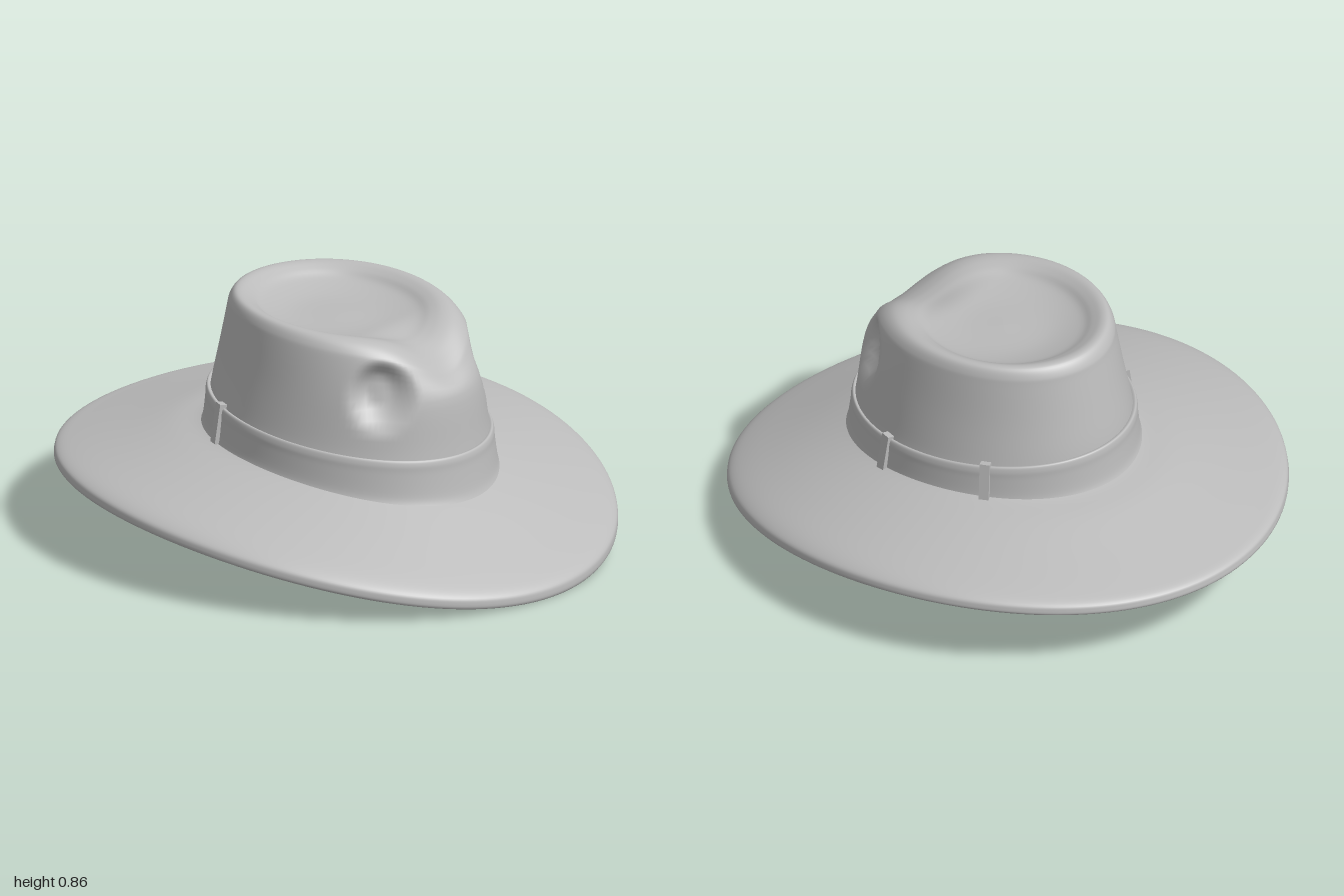
import * as THREE from 'three';

const SEGMENTS = 144;
const STEPS = 5;

// Each ring: half width, front z, back z, then height at front, side and back
const CROWN = [
  [0, 0.02, 0.02, 0.79, 0.79, 0.79],
  [0.14, 0.16, -0.14, 0.785, 0.79, 0.795],
  [0.24, 0.28, -0.25, 0.795, 0.807, 0.82],
  [0.28, 0.34, -0.3, 0.81, 0.835, 0.845],
  [0.31, 0.385, -0.335, 0.815, 0.85, 0.86],
  [0.335, 0.43, -0.362, 0.805, 0.847, 0.857],
  [0.352, 0.475, -0.383, 0.775, 0.822, 0.828],
  [0.362, 0.502, -0.392, 0.735, 0.78, 0.79],
  [0.385, 0.545, -0.42, 0.62, 0.64, 0.66],
  [0.41, 0.565, -0.445, 0.46, 0.5, 0.54],
  [0.425, 0.575, -0.455, 0.38, 0.43, 0.46],
  [0.43, 0.59, -0.46, 0.26, 0.34, 0.37],
];

const BAND = [
  [0.405, 0.555, -0.435, 0.41, 0.467, 0.512],
  [0.424, 0.577, -0.458, 0.421, 0.479, 0.523],
  [0.432, 0.585, -0.465, 0.405, 0.46, 0.505],
  [0.434, 0.588, -0.467, 0.37, 0.43, 0.47],
  [0.441, 0.6, -0.476, 0.29, 0.365, 0.4],
  [0.452, 0.612, -0.49, 0.255, 0.335, 0.365],
];

// Upper face, rolled edge, underside and head opening
const BRIM = [
  [0.42, 0.58, -0.45, 0.275, 0.37, 0.39],
  [0.46, 0.62, -0.5, 0.256, 0.358, 0.378],
  [0.55, 0.7, -0.6, 0.215, 0.34, 0.363],
  [0.7, 0.82, -0.76, 0.15, 0.312, 0.324],
  [0.82, 0.93, -0.92, 0.09, 0.288, 0.285],
  [0.875, 0.985, -0.985, 0.056, 0.266, 0.268],
  [0.89, 1, -1, 0.032, 0.245, 0.25],
  [0.88, 0.988, -0.99, 0.006, 0.222, 0.227],
  [0.8, 0.9, -0.89, 0.05, 0.236, 0.242],
  [0.65, 0.76, -0.7, 0.13, 0.268, 0.285],
  [0.5, 0.64, -0.54, 0.2, 0.305, 0.33],
  [0.43, 0.59, -0.47, 0.235, 0.32, 0.345],
  [0.418, 0.575, -0.448, 0.25, 0.335, 0.36],
];

function ringPoint([w, zf, zb, yf, ys, yb], a) {
  const s = Math.sin(a), c = Math.cos(a);
  return new THREE.Vector3(
    w * s,
    ys + (yf - yb) / 2 * c + ((yf + yb) / 2 - ys) * c * c,
    (zf + zb) / 2 + (zf - zb) / 2 * c
  );
}

function smoothRows(rows) {
  const at = (i) => rows[Math.min(Math.max(i, 0), rows.length - 1)];
  const out = [];
  for (let i = 0; i < rows.length - 1; i++) {
    for (let k = 0; k < STEPS; k++) {
      const t = k / STEPS;
      out.push(rows[i].map((p, n) => {
        const m0 = (at(i + 1)[n] - at(i - 1)[n]) / 2, m1 = (at(i + 2)[n] - p) / 2;
        const q = at(i + 1)[n];
        return p + m0 * t + (3 * (q - p) - 2 * m0 - m1) * t * t + (2 * (p - q) + m0 + m1) * t * t * t;
      }));
    }
  }
  out.push(rows[rows.length - 1]);
  return out;
}

function loft(rows, deform) {
  const pos = [], index = [];
  const rings = smoothRows(rows);
  rings.forEach((row, i) => {
    for (let j = 0; j < SEGMENTS; j++) {
      const p = ringPoint(row, j / SEGMENTS * Math.PI * 2);
      if (deform) deform(p);
      pos.push(p.x, p.y, p.z);
      if (i === rings.length - 1) continue;
      const a = i * SEGMENTS + j, b = i * SEGMENTS + (j + 1) % SEGMENTS;
      index.push(a, a + SEGMENTS, b, b, a + SEGMENTS, b + SEGMENTS);
    }
  });
  const g = new THREE.BufferGeometry();
  g.setAttribute('position', new THREE.Float32BufferAttribute(pos, 3));
  g.setIndex(index);
  g.computeVertexNormals();
  return g;
}

// Two thumb dents at the front sides and a V-shaped dip in the top's front edge
function pinch(p) {
  const { smoothstep } = THREE.MathUtils;
  const d = Math.hypot(Math.abs(p.x) - 0.265, p.y - 0.655, p.z - 0.415);
  const push = 0.055 * (1 - smoothstep(d, 0.045, 0.135));
  const dip = 0.075 * Math.exp(-((p.x / 0.15) ** 2))
    * smoothstep(p.z, 0.2, 0.45) * smoothstep(p.y, 0.6, 0.78);
  const len = Math.hypot(p.x, p.z - 0.06) || 1;
  p.x -= p.x / len * push;
  p.z -= (p.z - 0.06) / len * push;
  p.y -= dip;
}

export function createModel() {
  const hat = new THREE.Group();
  hat.name = 'hat';
  const felt = new THREE.MeshStandardMaterial({ color: 0xbbbbbb });
  felt.name = 'grey felt';
  const add = (name, geometry) => {
    const mesh = new THREE.Mesh(geometry, felt);
    mesh.name = name;
    hat.add(mesh);
    return mesh;
  };

  add('crown', loft(CROWN, pinch));

  // Inside of the crown, slightly smaller and facing inward
  const T = 0.012;
  const inner = CROWN.map(([w, zf, zb, ...ys], i) =>
    [Math.max(w - T, 0), i ? zf - T : zf, i ? zb + T : zb, ...ys.map((y) => y - (i < 7 ? T : 0))]);
  add('crownLining', loft(inner.reverse(), pinch));

  add('hatBand', loft(BAND));
  add('brim', loft(BRIM, (p) => { p.y += 0.015 * p.x; }));

  // Narrow keepers that hold the band
  for (const a of [2.12, 1.33, -2.12]) {
    const top = ringPoint(BAND[1], a), bottom = ringPoint(BAND[4], a);
    const up = top.clone().sub(bottom);
    const length = up.length() + 0.025;
    up.normalize();
    const side = ringPoint(BAND[3], a + 0.01).sub(ringPoint(BAND[3], a - 0.01)).normalize();
    const out = side.clone().cross(up).normalize();
    side.crossVectors(up, out);
    const keeper = add('bandKeeper', new THREE.BoxGeometry(0.035, length, 0.026));
    keeper.quaternion.setFromRotationMatrix(new THREE.Matrix4().makeBasis(side, up, out));
    keeper.position.copy(top).add(bottom).multiplyScalar(0.5).addScaledVector(out, 0.002);
  }
  return hat;
}
